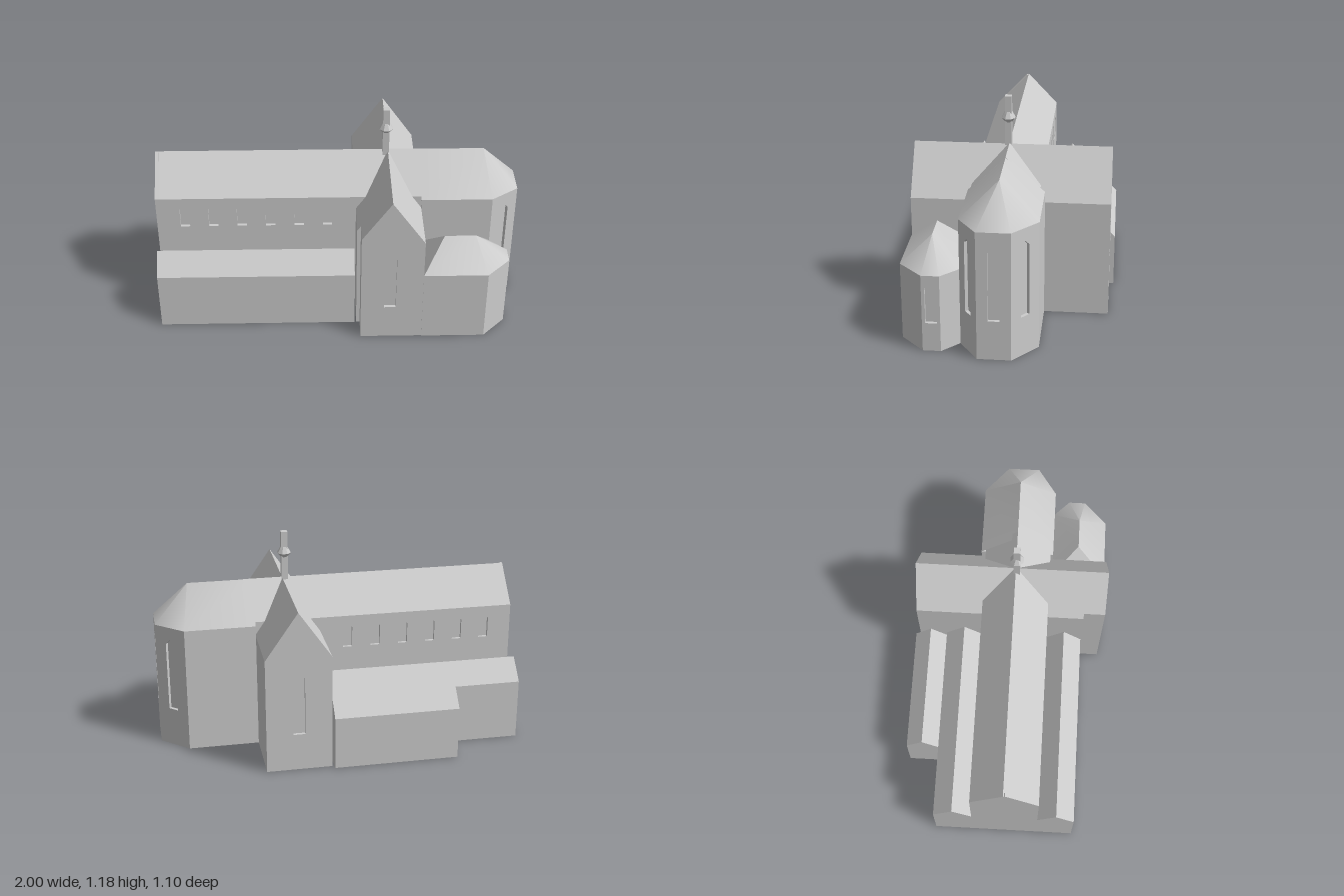
import * as THREE from 'three';
import { toCreasedNormals } from 'three/addons/utils/BufferGeometryUtils.js';

const stone = new THREE.MeshStandardMaterial({ color: 0xcccccc, side: THREE.DoubleSide });
stone.name = 'pale stone';
const T = 0.02; // wall thickness

function add(parent, geometry, name) {
  const mesh = new THREE.Mesh(geometry, stone);
  mesh.name = name;
  parent.add(mesh);
  return mesh;
}

const toShape = (pts) => new THREE.Shape(pts.map(([x, y]) => new THREE.Vector2(x, y)));

// Pointed lancet window: centre u, width w, sill, spring line and tip
const lancet = (u, w, sill, spring, tip) => [
  [u - w / 2, sill], [u + w / 2, sill], [u + w / 2, spring], [u, tip], [u - w / 2, spring],
];

// Upright wall from a to b ([x, z], outside on the right hand), with recessed windows
// top lists the upper outline from right to left as [distance along wall, height]
function wall(parent, a, b, top, windows = [], name = 'wall') {
  const dx = b[0] - a[0], dz = b[1] - a[1], len = Math.hypot(dx, dz);
  const outline = typeof top === 'number' ? [[len, top], [0, top]] : top;
  const group = new THREE.Group();
  group.name = name;
  group.position.set(a[0], 0, a[1]);
  group.rotation.y = Math.atan2(-dz, dx);
  const shape = toShape([[0, 0], [len, 0], ...outline]);
  windows.forEach((w) => shape.holes.push(new THREE.Path(toShape(w).getPoints())));
  const body = new THREE.ExtrudeGeometry(shape, { depth: T, bevelEnabled: false });
  add(group, body.translate(0, 0, -T), 'wallFace');
  windows.forEach((w) => {
    add(group, new THREE.ShapeGeometry(toShape(w)).translate(0, 0, -T * 0.9), 'windowPane');
  });
  parent.add(group);
}

// Roof made of flat polygons, softened where they meet at a shallow angle
function roof(parent, polygons, name) {
  const pos = [];
  polygons.forEach((p) => {
    for (let i = 1; i < p.length - 1; i++) pos.push(...p[0], ...p[i], ...p[i + 1]);
  });
  const g = new THREE.BufferGeometry();
  g.setAttribute('position', new THREE.Float32BufferAttribute(pos, 3));
  add(parent, toCreasedNormals(g, 0.9), name);
}

// Underside of a footprint
function floor(parent, footprint) {
  const g = new THREE.ShapeGeometry(toShape(footprint));
  add(parent, g.rotateX(Math.PI / 2), 'floor');
}

function part(root, name) {
  const g = new THREE.Group();
  g.name = name;
  root.add(g);
  return g;
}

// Long gabled block lying along x
function aisle(root, name, x0, x1, z0, z1, eave, ridge) {
  const mid = (z0 + z1) / 2;
  const section = toShape([[-z1, 0], [-z0, 0], [-z0, eave], [-mid, ridge], [-z1, eave]]);
  const g = new THREE.ExtrudeGeometry(section, { depth: x1 - x0, bevelEnabled: false });
  add(root, g.rotateY(Math.PI / 2).translate(x0, 0, 0), name);
}

// Room with a faceted east end and hipped roof; windows are keyed by wall index
function apse(root, name, foot, h, west, east, windows, hippedWest) {
  const g = part(root, name);
  foot.forEach((a, i) => {
    const b = foot[(i + 1) % foot.length];
    const mid = Math.hypot(b[0] - a[0], b[1] - a[1]) / 2;
    wall(g, a, b, h, windows[i] ? [lancet(mid, ...windows[i])] : []);
  });
  floor(g, foot);
  const e = foot.map(([x, z]) => [x, h, z]);
  const faces = [[e[0], e[1], east, west], [e[1], e[2], east], [e[2], e[3], east],
    [e[3], e[4], east], [e[4], e[5], west, east]];
  if (hippedWest) faces.push([e[5], e[0], west]);
  roof(g, faces, name + 'Roof');
}

export function createModel() {
  const root = new THREE.Group();
  root.name = 'church';

  // Nave with six clerestory windows on each side
  const nave = part(root, 'nave');
  const xs = [-0.845, -0.688, -0.531, -0.373, -0.215, -0.057];
  const clerestory = (toU) => xs.map((x) => lancet(toU(x), 0.052, 0.54, 0.655, 0.68));
  wall(nave, [-1, 0.22], [0.5, 0.22], 0.725, clerestory((x) => x + 1), 'naveFrontWall');
  wall(nave, [0.5, -0.15], [-1, -0.15], 0.725, clerestory((x) => 0.5 - x), 'naveBackWall');
  const naveGable = [[0.37, 0.725], [0.19, 0.915], [0, 0.725]];
  wall(nave, [-1, -0.15], [-1, 0.22], naveGable, [], 'westGable');
  wall(nave, [0.5, 0.22], [0.5, -0.15], naveGable, [], 'eastGable');
  floor(nave, [[-1, 0.22], [0.5, 0.22], [0.5, -0.15], [-1, -0.15]]);
  roof(nave, [
    [[-1, 0.725, 0.22], [0.5, 0.725, 0.22], [0.5, 0.915, 0.03], [-1, 0.915, 0.03]],
    [[0.5, 0.725, -0.15], [-1, 0.725, -0.15], [-1, 0.915, 0.03], [0.5, 0.915, 0.03]],
  ], 'naveRoof');

  // Side aisles and the low back chapel
  aisle(root, 'frontAisle', -1, 0.09, 0.22, 0.425, 0.34, 0.45);
  aisle(root, 'backAisle', -1, 0.09, -0.365, -0.15, 0.34, 0.45);
  aisle(root, 'backChapel', -0.6, 0.09, -0.55, -0.365, 0.295, 0.39);

  // Transept, slightly narrower at its front end
  const transept = part(root, 'transept');
  const foot = [[0.12, 0.545], [0.46, 0.545], [0.46, -0.525], [0.1, -0.525], [0.1, 0.425], [0.12, 0.425]];
  const tall = (u) => [lancet(u, 0.065, 0.21, 0.54, 0.57)];
  wall(transept, foot[0], foot[1], [[0.34, 0.65], [0.16, 0.91], [0, 0.679]], tall(0.16), 'frontGable');
  wall(transept, foot[1], foot[2], 0.65);
  wall(transept, foot[2], foot[3], [[0.36, 0.65], [0.18, 0.91], [0, 0.65]], tall(0.18), 'backGable');
  wall(transept, foot[3], foot[4], 0.65);
  wall(transept, foot[4], foot[5], [[0.02, 0.679], [0, 0.65]]);
  wall(transept, foot[5], foot[0], 0.679);
  floor(transept, foot);
  roof(transept, [
    [[0.46, 0.65, 0.545], [0.46, 0.65, -0.525], [0.28, 0.91, -0.525], [0.28, 0.91, 0.545]],
    [[0.1, 0.65, -0.525], [0.1, 0.65, 0.425], [0.28, 0.91, 0.425], [0.28, 0.91, -0.525]],
    [[0.12, 0.679, 0.425], [0.12, 0.679, 0.545], [0.28, 0.91, 0.545], [0.28, 0.91, 0.425]],
  ], 'transeptRoof');

  // Choir with three tall apse windows
  const choirWindow = [0.06, 0.22, 0.61, 0.64];
  apse(root, 'choir',
    [[0.46, 0.235], [0.85, 0.235], [1, 0.132], [1, -0.045], [0.85, -0.175], [0.46, -0.175]],
    0.71, [0.46, 0.913, 0.03], [0.81, 0.913, 0.03],
    { 1: choirWindow, 2: choirWindow, 3: choirWindow }, false);

  // Low front chapel with one east window
  apse(root, 'frontChapel',
    [[0.46, 0.548], [0.81, 0.548], [0.938, 0.42], [0.938, 0.325], [0.85, 0.237], [0.46, 0.237]],
    0.43, [0.58, 0.577, 0.385], [0.75, 0.577, 0.385],
    { 2: [0.06, 0.16, 0.36, 0.385] }, true);

  // Slender turret with a faceted collar over the crossing
  const turret = part(root, 'turret');
  turret.position.set(0.267, 0, 0.036);
  add(turret, new THREE.BoxGeometry(0.036, 0.3, 0.036).translate(0, 1.027, 0), 'turretShaft');
  const collar = [[0.018, 1.03], [0.039, 1.055], [0.018, 1.093]].map((p) => new THREE.Vector2(...p));
  const collarGeometry = new THREE.LatheGeometry(collar, 8, Math.PI / 8).toNonIndexed();
  collarGeometry.computeVertexNormals();
  add(turret, collarGeometry, 'turretCollar');

  return root;
}
